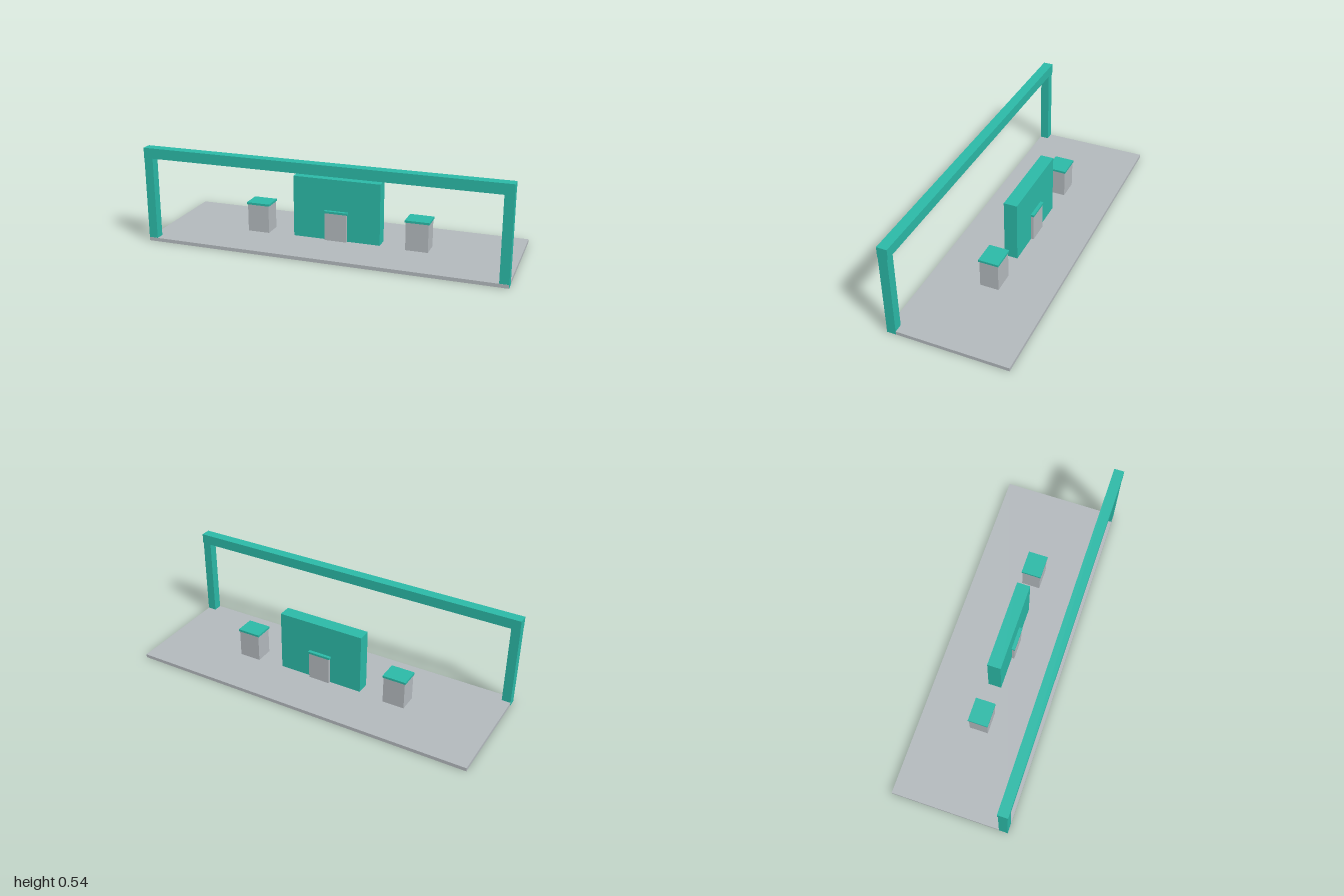
import * as THREE from 'three';

export function createModel() {
  const model = new THREE.Group();
  model.name = 'exhibitionStand';

  const grey = new THREE.MeshStandardMaterial({ color: 0xb2b8bc });
  grey.name = 'grey';
  const teal = new THREE.MeshStandardMaterial({ color: 0x2bb8a6 });
  teal.name = 'teal';

  // Box from its width, depth and vertical extent
  function block(parent, name, material, width, depth, y0, y1, x = 0, z = 0) {
    const mesh = new THREE.Mesh(new THREE.BoxGeometry(width, y1 - y0, depth), material);
    mesh.name = name;
    mesh.position.set(x, (y0 + y1) / 2, z);
    parent.add(mesh);
    return mesh;
  }

  // Floor slab
  block(model, 'floor', grey, 1.999, 0.665, 0.0005, 0.02, 0, -0.0005);

  // Central display wall
  block(model, 'displayWall', teal, 0.5, 0.075, 0.001, 0.368);

  // Front gateway: two posts and a slightly thicker beam
  const gateway = new THREE.Group();
  gateway.name = 'gateway';
  for (const side of [-1, 1]) {
    block(gateway, side > 0 ? 'leftPost' : 'rightPost', teal, 0.05, 0.05, 0, 0.478, side * 0.975, 0.306);
  }
  block(gateway, 'beam', teal, 2, 0.057, 0.478, 0.535, 0, 0.305);
  model.add(gateway);

  // Three pedestals with overhanging tops
  for (const [name, x] of [['rightPedestal', -0.46], ['middlePedestal', 0], ['leftPedestal', 0.46]]) {
    const pedestal = new THREE.Group();
    pedestal.name = name;
    pedestal.position.x = x;
    block(pedestal, 'pedestalBody', grey, 0.125, 0.105, 0.02, 0.178);
    block(pedestal, 'pedestalTop', teal, 0.135, 0.113, 0.178, 0.19);
    model.add(pedestal);
  }

  return model;
}
